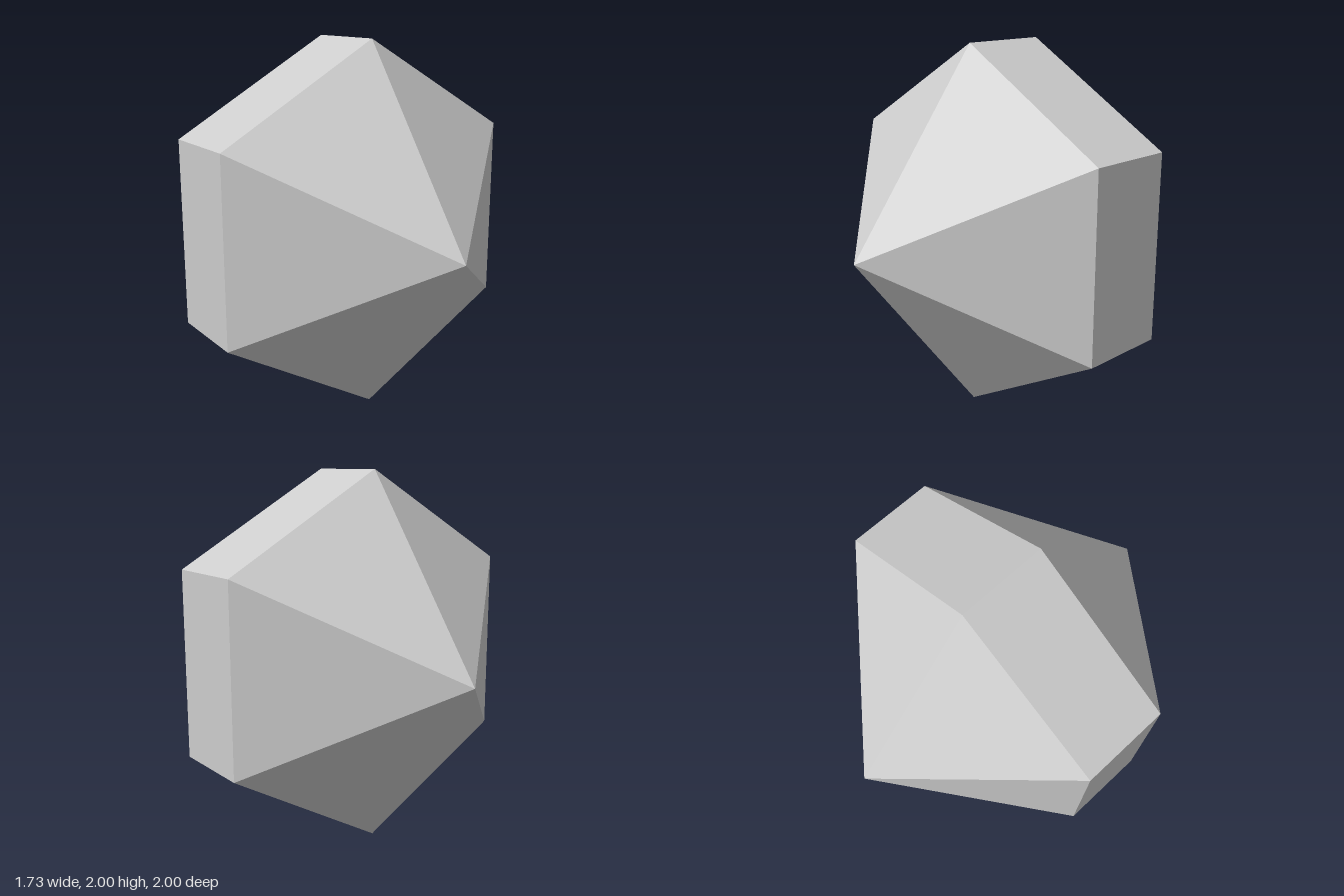
import * as THREE from 'three';

const SIDES = 6;
const RADIUS = 1;
const HALF_BAND = 0.24; // half depth of the straight middle band
const TIP = 1; // distance from the centre to each point

export function createModel() {
  const group = new THREE.Group();
  group.name = 'hexagonalBipyramid';

  const grey = new THREE.MeshStandardMaterial({ color: 0xcccccc, flatShading: true });
  grey.name = 'grey';

  const add = (name, geometry, z) => {
    const mesh = new THREE.Mesh(geometry, grey);
    mesh.name = name;
    mesh.position.set(0, RADIUS, z);
    group.add(mesh);
  };

  // Six-sided band around the middle, corners up and down
  const band = new THREE.CylinderGeometry(RADIUS, RADIUS, HALF_BAND * 2, SIDES, 1, true);
  add('middleBand', band.rotateX(Math.PI / 2), 0);

  // Matching pyramids pointing forward and backward
  const height = TIP - HALF_BAND;
  for (const [name, side] of [['frontPyramid', 1], ['backPyramid', -1]]) {
    const pyramid = new THREE.ConeGeometry(RADIUS, height, SIDES, 1, true);
    add(name, pyramid.rotateX((side * Math.PI) / 2), side * (HALF_BAND + height / 2));
  }

  return group;
}
